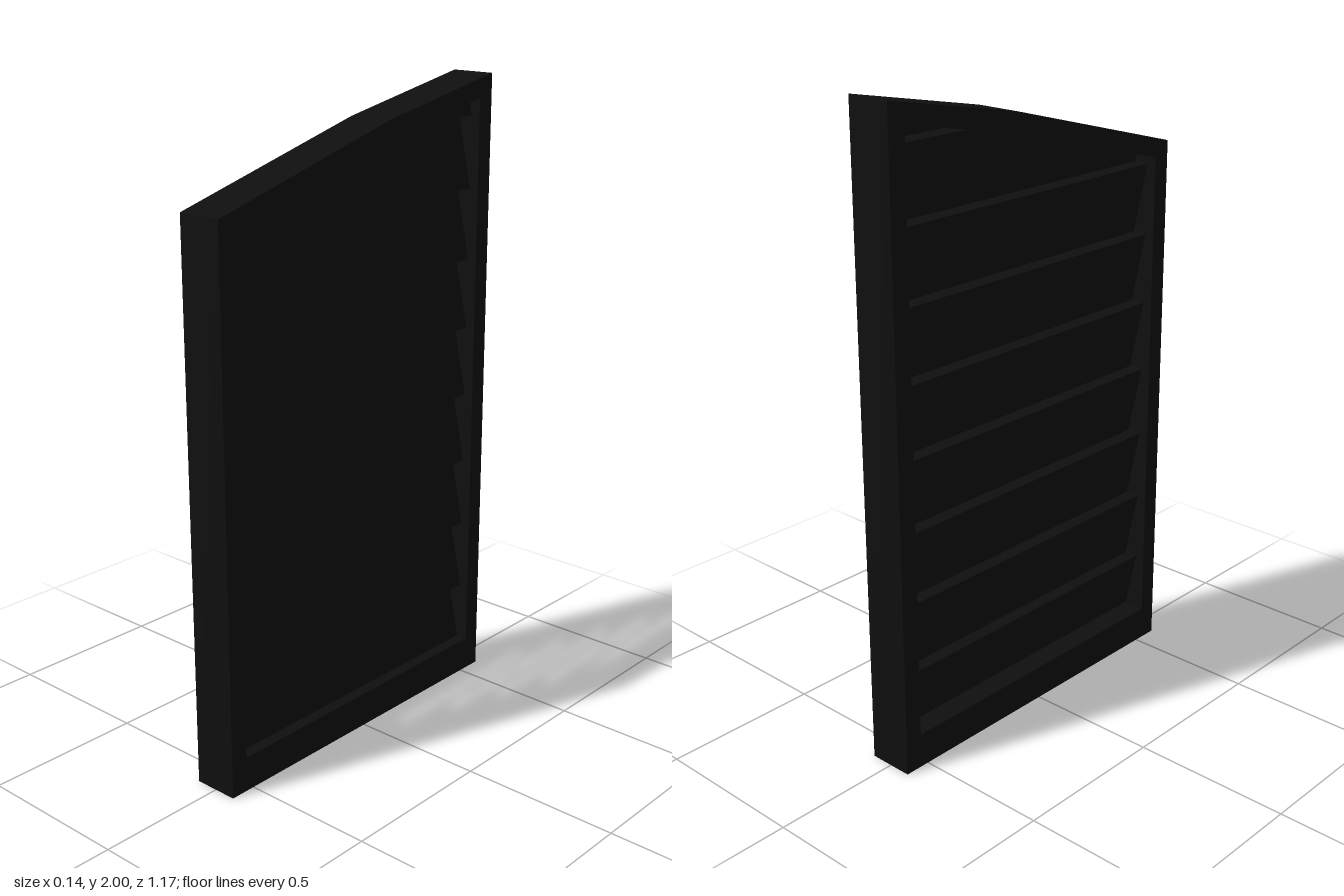
import * as THREE from 'three';

const HALF = 0.585, DEPTH = 0.145, STILE = 0.058, RAIL = 0.06, SILL = 0.11;
const PITCH = 0.2247, TILT = 0.21, SLAT_LENGTH = 0.238, SLAT_THICK = 0.035;

// Height of the raked top edge; u runs from the front (-) to the back (+)
function topAt(u) {
  return u < 0.1
    ? 1.72 + (u + HALF) * (0.185 / 0.685)
    : 1.905 + (u - 0.1) * (0.095 / 0.485);
}

// Extrude a (u, height) shape across x, centred on x = 0
function extrudeAcross(shape, depth) {
  const g = new THREE.ExtrudeGeometry(shape, { depth, bevelEnabled: false });
  g.translate(0, 0, -depth / 2);
  g.rotateY(Math.PI / 2);
  return g;
}

const toShape = (points) => new THREE.Shape(points.map(([u, v]) => new THREE.Vector2(u, v)));

export function createModel() {
  const model = new THREE.Group();
  model.name = 'louvredShutter';
  const paint = new THREE.MeshStandardMaterial({ color: 0x0f0f0f });
  paint.name = 'blackPaint';

  // Frame with a raked head and one opening
  const inner = HALF - STILE;
  const outline = toShape([
    [-HALF, 0], [HALF, 0], [HALF, topAt(HALF)], [0.1, topAt(0.1)], [-HALF, topAt(-HALF)],
  ]);
  outline.holes.push(toShape([
    [-inner, SILL], [-inner, topAt(-inner) - RAIL], [0.1, topAt(0.1) - RAIL],
    [inner, topAt(inner) - RAIL], [inner, SILL],
  ]));
  const frame = new THREE.Mesh(extrudeAcross(outline, DEPTH), paint);
  frame.name = 'frame';
  model.add(frame);

  // Overlapping slats, trimmed to end inside the raked head
  const slats = new THREE.Group();
  slats.name = 'slats';
  const end = inner + 0.01, steps = 24;
  for (let i = 0; i < 9; i++) {
    const base = 0.073 + i * PITCH;
    const upper = [];
    for (let k = steps; k >= 0; k--) {
      const u = -end + (2 * end * k) / steps;
      const v = Math.min(SLAT_LENGTH, (topAt(u) - 0.03 - base) / Math.cos(TILT));
      if (v > 0.002) upper.push([u, v]);
    }
    const first = upper[upper.length - 1][0];
    const shape = toShape([[first, 0], [end, 0], ...upper]);
    const slat = new THREE.Mesh(extrudeAcross(shape, SLAT_THICK), paint);
    slat.name = 'slat' + (i + 1);
    slat.rotation.z = TILT;
    slat.position.set((SLAT_LENGTH * Math.sin(TILT)) / 2, base, 0);
    slats.add(slat);
  }
  model.add(slats);
  return model;
}
